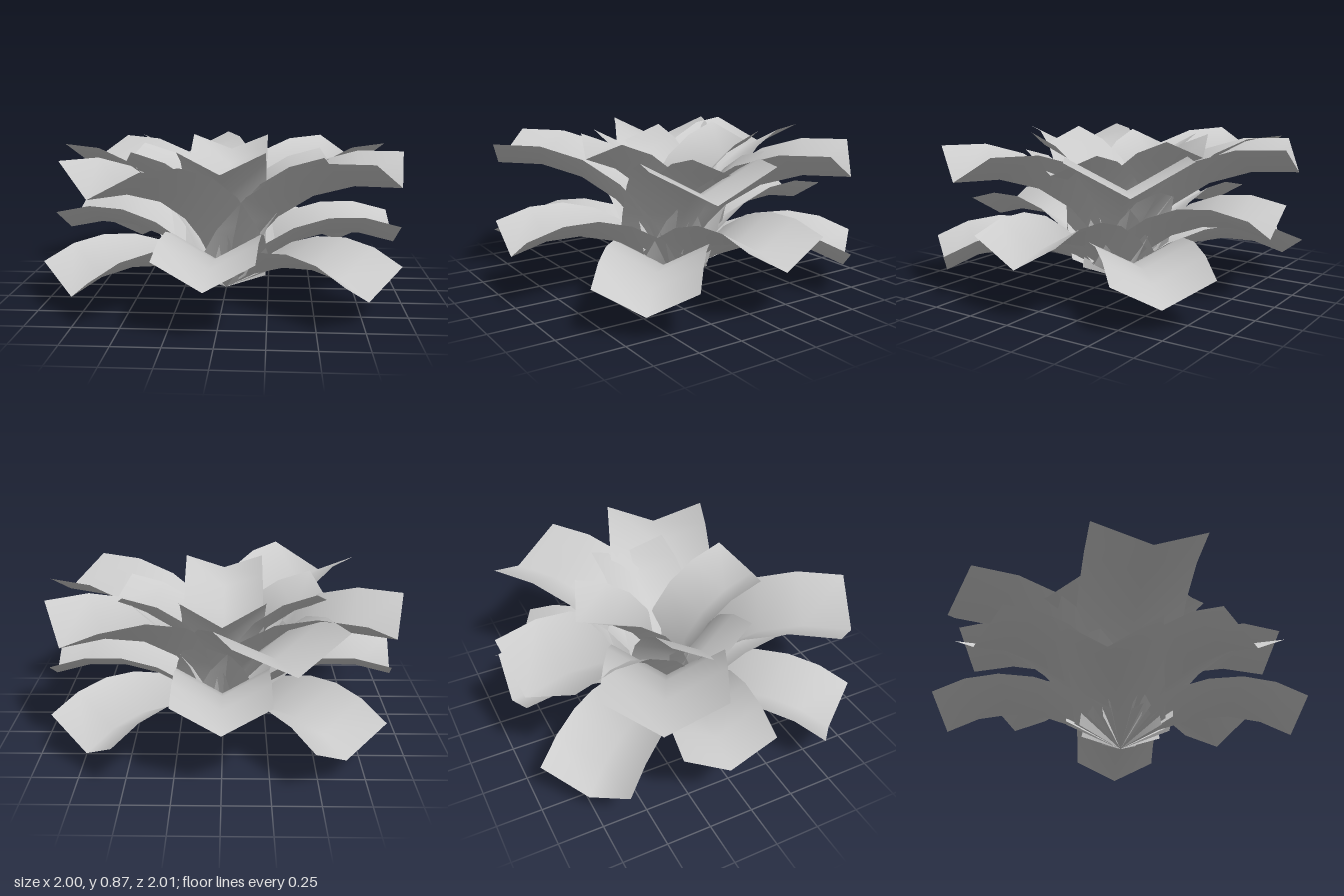
import * as THREE from 'three';

const material = new THREE.MeshStandardMaterial({ color: 0xcccccc, side: THREE.DoubleSide });

// Leaf along +x: constant width, V-folded across, arched along its length.
function leafGeometry({ length, halfWidth, fold, rise, sag }) {
  const geometry = new THREE.PlaneGeometry(length, halfWidth * 2, 5, 2);
  geometry.rotateX(-Math.PI / 2).translate(length / 2, 0, 0);
  const p = geometry.attributes.position;
  for (let i = 0; i < p.count; i++) {
    const t = p.getX(i) / length;
    p.setY(i, rise * t - sag * t * t + fold * Math.abs(p.getZ(i)) / halfWidth);
  }
  geometry.computeVertexNormals();
  return geometry;
}

// Each tier: one leaf shape, repeated as [heading from +x towards +z, upward tilt] in degrees.
const tiers = [
  { name: 'innerLeaf', length: 0.925, halfWidth: 0.235, fold: 0.14, rise: 0.88, sag: 0.68,
    leaves: [[0, 35.8], [90, 41.8], [180, 38.3], [270, 42]] },
  { name: 'upperLeaf', length: 1.218, halfWidth: 0.305, fold: 0.172, rise: 1.07, sag: 0.87,
    leaves: [[21.3, 24], [127.7, 24], [207.5, 24], [249.6, 24], [323.2, 24]] },
  { name: 'middleLeaf', length: 0.998, halfWidth: 0.25, fold: 0.142, rise: 0.93, sag: 0.685,
    leaves: [[-2.4, 2.4], [93, 1.6], [187.4, 5], [270, 7]] },
  { name: 'lowerLeaf', length: 0.955, halfWidth: 0.26, fold: 0.145, rise: 0.993, sag: 0.648,
    leaves: [[40, -12.5], [140, -12.5], [230.5, -12.5], [314.4, -12.5]] },
];

export function createModel() {
  const plant = new THREE.Group();
  plant.name = 'leafRosette';
  for (const tier of tiers) {
    const geometry = leafGeometry(tier);
    tier.leaves.forEach(([heading, tilt], i) => {
      const leaf = new THREE.Mesh(geometry, material);
      leaf.name = `${tier.name}${i + 1}`;
      leaf.rotation.set(0, -THREE.MathUtils.degToRad(heading), THREE.MathUtils.degToRad(tilt));
      plant.add(leaf);
    });
  }
  return plant;
}
